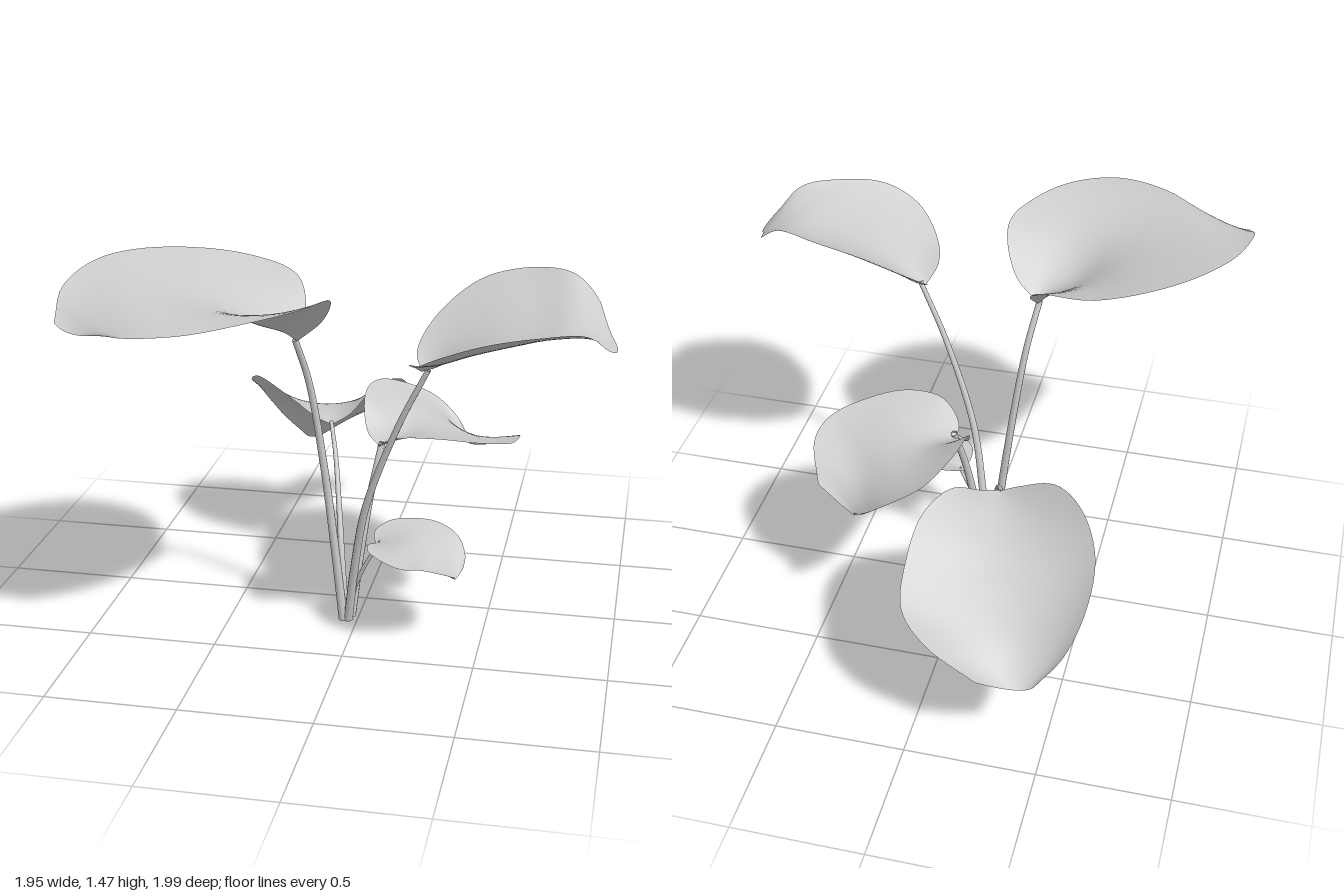
import * as THREE from 'three';

const leafMaterial = new THREE.MeshStandardMaterial({ color: 0xcccccc, side: THREE.DoubleSide });
leafMaterial.name = 'pale grey';

// Each leaf: rows from the base to the tip, each row = one edge, midrib, other edge (x, y, z).
const leaves = {
  tallLeftLeaf: [
    [-0.2, 1.18, 0.31, -0.2, 1.18, 0.31, -0.2, 1.18, 0.31],
    [-0.1, 1.27, 0.35, -0.24, 1.22, 0.34, -0.19, 1.27, 0.2],
    [-0.035, 1.4, 0.5, -0.33, 1.27, 0.41, -0.25, 1.37, 0.08],
    [-0.1, 1.42, 0.71, -0.46, 1.36, 0.51, -0.47, 1.42, 0.005],
    [-0.24, 1.42, 0.89, -0.6, 1.41, 0.62, -0.74, 1.46, 0.11],
    [-0.42, 1.4, 0.99, -0.72, 1.42, 0.71, -0.92, 1.47, 0.32],
    [-0.62, 1.37, 0.965, -0.82, 1.38, 0.78, -0.98, 1.43, 0.6],
    [-0.76, 1.34, 0.86, -0.87, 1.33, 0.83, -0.95, 1.35, 0.78],
  ],
  tallRightLeaf: [
    [0.28, 1.13, 0.42, 0.28, 1.13, 0.42, 0.28, 1.13, 0.42],
    [0.25, 1.18, 0.34, 0.33, 1.15, 0.42, 0.25, 1.18, 0.5],
    [0.3, 1.28, 0.22, 0.42, 1.21, 0.43, 0.29, 1.22, 0.64],
    [0.45, 1.4, 0.12, 0.54, 1.27, 0.44, 0.4, 1.3, 0.76],
    [0.63, 1.45, 0.11, 0.68, 1.31, 0.45, 0.55, 1.36, 0.79],
    [0.79, 1.45, 0.16, 0.81, 1.34, 0.46, 0.72, 1.38, 0.74],
    [0.88, 1.38, 0.21, 0.91, 1.32, 0.46, 0.87, 1.37, 0.66],
    [0.925, 1.31, 0.36, 0.97, 1.27, 0.47, 0.94, 1.3, 0.58],
  ],
  middleLeaf: [
    [0.06, 0.68, 0.04, 0.06, 0.68, 0.04, 0.06, 0.68, 0.04],
    [0, 0.72, -0.02, 0.1, 0.7, 0, 0.065, 0.71, 0.1],
    [-0.03, 0.83, -0.13, 0.15, 0.72, -0.07, 0.15, 0.77, 0.17],
    [-0.01, 0.84, -0.29, 0.21, 0.73, -0.15, 0.3, 0.78, 0.175],
    [0.07, 0.79, -0.43, 0.27, 0.71, -0.22, 0.46, 0.75, 0.11],
    [0.2, 0.72, -0.485, 0.32, 0.66, -0.29, 0.57, 0.72, 0.01],
    [0.3, 0.64, -0.455, 0.355, 0.61, -0.335, 0.59, 0.7, -0.14],
    [0.36, 0.57, -0.38, 0.39, 0.56, -0.36, 0.53, 0.61, -0.29],
  ],
  backLeaf: [
    [-0.185, 0.66, -0.215, -0.185, 0.66, -0.215, -0.185, 0.66, -0.215],
    [-0.25, 0.69, -0.215, -0.2, 0.665, -0.27, -0.12, 0.69, -0.27],
    [-0.4, 0.77, -0.27, -0.23, 0.665, -0.38, -0.03, 0.78, -0.4],
    [-0.53, 0.78, -0.41, -0.27, 0.64, -0.51, 0.04, 0.76, -0.55],
    [-0.61, 0.71, -0.57, -0.31, 0.58, -0.64, 0.06, 0.66, -0.71],
    [-0.615, 0.61, -0.74, -0.345, 0.5, -0.76, 0.035, 0.57, -0.86],
    [-0.56, 0.47, -0.855, -0.38, 0.41, -0.855, -0.08, 0.51, -0.96],
    [-0.47, 0.36, -0.915, -0.4, 0.33, -0.92, -0.27, 0.41, -0.995],
  ],
  smallLeaf: [
    [0.08, 0.36, 0.24, 0.08, 0.36, 0.24, 0.08, 0.36, 0.24],
    [0.07, 0.39, 0.2, 0.1, 0.37, 0.25, 0.065, 0.38, 0.3],
    [0.12, 0.42, 0.15, 0.15, 0.385, 0.27, 0.075, 0.385, 0.37],
    [0.22, 0.43, 0.13, 0.21, 0.395, 0.29, 0.14, 0.38, 0.44],
    [0.31, 0.42, 0.13, 0.27, 0.39, 0.305, 0.22, 0.37, 0.475],
    [0.39, 0.39, 0.17, 0.33, 0.37, 0.32, 0.3, 0.37, 0.47],
    [0.43, 0.34, 0.24, 0.38, 0.32, 0.335, 0.37, 0.34, 0.43],
    [0.43, 0.31, 0.3, 0.41, 0.29, 0.35, 0.41, 0.31, 0.38],
  ],
};

// Each stem: base radius, top radius, path from the ground to the leaf.
const stems = {
  tallLeftStem: [0.018, 0.012, [[-0.055, 0, 0.2], [-0.085, 0.3, 0.205], [-0.125, 0.65, 0.21], [-0.17, 1, 0.25], [-0.205, 1.19, 0.32]]],
  tallRightStem: [0.018, 0.01, [[-0.035, 0, 0.2], [0, 0.25, 0.25], [0.06, 0.55, 0.32], [0.19, 0.9, 0.385], [0.305, 1.14, 0.425]]],
  middleStem: [0.018, 0.013, [[-0.03, 0, 0.16], [0, 0.25, 0.14], [0.035, 0.5, 0.1], [0.07, 0.7, 0.04]]],
  backStem: [0.015, 0.008, [[-0.05, 0, 0.185], [-0.075, 0.23, 0.125], [-0.105, 0.42, 0.03], [-0.145, 0.58, -0.1], [-0.19, 0.665, -0.235]]],
  smallStem: [0.012, 0.006, [[-0.035, 0, 0.185], [-0.015, 0.12, 0.2], [0.03, 0.24, 0.225], [0.1, 0.37, 0.245]]],
};

// Lofts a smooth blade through the rows, with a parabola across each section
function leafGeometry(rows, nu = 42, nv = 24) {
  const [left, mid, right] = [0, 3, 6].map((k) =>
    new THREE.CatmullRomCurve3(rows.map((r) => new THREE.Vector3(r[k], r[k + 1], r[k + 2]))));
  const positions = [], index = [];
  for (let i = 0; i <= nu; i++) {
    const [l, m, r] = [left, mid, right].map((c) => c.getPoint(i / nu));
    for (let j = 0; j <= nv; j++) {
      const s = (2 * j) / nv - 1;
      const p = new THREE.Vector3()
        .addScaledVector(l, (s * (s - 1)) / 2)
        .addScaledVector(m, 1 - s * s)
        .addScaledVector(r, (s * (s + 1)) / 2);
      positions.push(p.x, p.y, p.z);
      if (i < nu && j < nv) {
        const a = i * (nv + 1) + j, c = a + nv + 1;
        index.push(a, a + 1, c, a + 1, c + 1, c);
      }
    }
  }
  const g = new THREE.BufferGeometry();
  g.setAttribute('position', new THREE.Float32BufferAttribute(positions, 3));
  g.setIndex(index);
  g.computeVertexNormals();
  return g;
}

// Tube that narrows from the base to the leaf
function stemGeometry(r0, r1, points) {
  const segments = 32, sides = 10;
  const curve = new THREE.CatmullRomCurve3(points.map((p) => new THREE.Vector3(...p)));
  const g = new THREE.TubeGeometry(curve, segments, 1, sides);
  const pos = g.attributes.position, v = new THREE.Vector3();
  for (let i = 0; i < pos.count; i++) {
    const t = Math.floor(i / (sides + 1)) / segments;
    const centre = curve.getPointAt(t);
    v.fromBufferAttribute(pos, i).sub(centre).multiplyScalar(r0 + (r1 - r0) * t).add(centre);
    pos.setXYZ(i, v.x, Math.max(v.y, 0), v.z);
  }
  g.computeBoundingSphere();
  return g;
}

export function createModel() {
  const plant = new THREE.Group();
  plant.name = 'plant';
  const add = (name, geometry) => {
    const mesh = new THREE.Mesh(geometry, leafMaterial);
    mesh.name = name;
    plant.add(mesh);
  };
  for (const [name, rows] of Object.entries(leaves)) add(name, leafGeometry(rows));
  for (const [name, stem] of Object.entries(stems)) add(name, stemGeometry(...stem));
  return plant;
}
